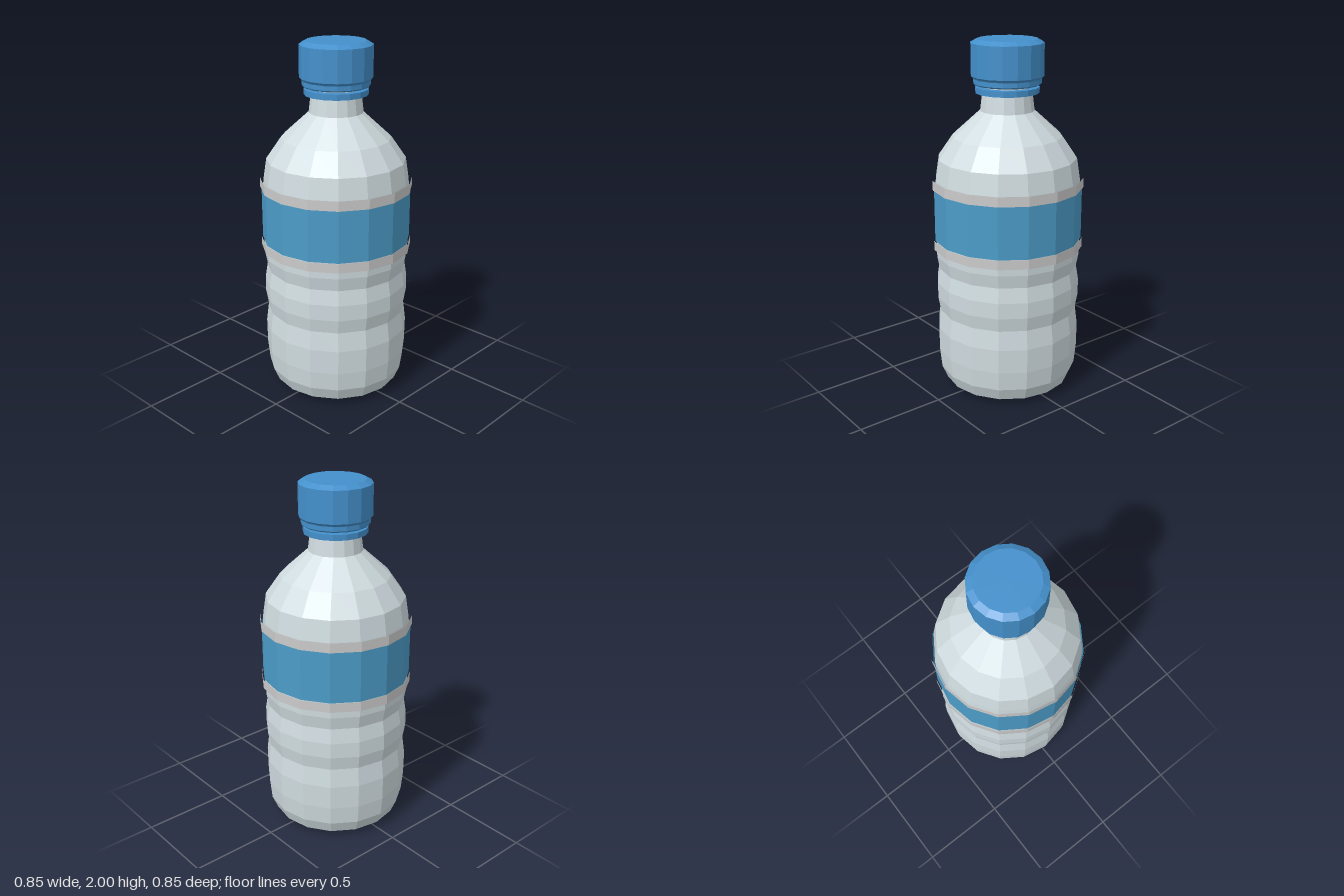
import * as THREE from 'three';

const SIDES = 16;

function material(color, side = THREE.FrontSide) {
  return new THREE.MeshStandardMaterial({ color, side, flatShading: true });
}

// Turned part from [radius, height] points, listed bottom to top on the outside
function turned(name, points, mat) {
  const profile = points.map(([r, y]) => new THREE.Vector2(r, y));
  const mesh = new THREE.Mesh(new THREE.LatheGeometry(profile, SIDES), mat);
  mesh.name = name;
  return mesh;
}

// Open sleeve wrapped around the body
function sleeve(name, radius, bottom, top, mat) {
  const geometry = new THREE.CylinderGeometry(radius, radius, top - bottom, SIDES, 1, true);
  const mesh = new THREE.Mesh(geometry, mat);
  mesh.position.y = (bottom + top) / 2;
  mesh.name = name;
  return mesh;
}

export function createModel() {
  const model = new THREE.Group();
  model.name = 'bottle';

  const plastic = material(0xd0dce0);
  const grey = material(0xcccccc);
  const capBlue = material(0x4490cc);
  const labelBlue = material(0x4c9cc8, THREE.DoubleSide);

  // Ribbed body with chamfered base and rounded shoulder
  model.add(turned('body', [
    [0, 0], [0.29, 0], [0.365, 0.035], [0.397, 0.11], [0.408, 0.22], [0.41, 0.36],
    [0.396, 0.47], [0.41, 0.55], [0.41, 0.64], [0.396, 0.725], [0.41, 0.8],
    [0.41, 0.9], [0.41, 1.19], [0.405, 1.24], [0.387, 1.355], [0.304, 1.475], [0.15, 1.615],
  ], plastic));

  // Neck running up into the cap
  model.add(turned('neck', [[0.15, 1.615], [0.137, 1.72], [0.137, 1.82]], plastic));

  // Label with a pale border above and below
  model.add(sleeve('label', 0.418, 0.895, 1.19, labelBlue));
  model.add(sleeve('lowerLabelBand', 0.425, 0.842, 0.895, grey));
  model.add(sleeve('upperLabelBand', 0.425, 1.19, 1.245, grey));

  // Tamper ring below the cap
  model.add(turned('tamperRing', [
    [0.13, 1.713], [0.176, 1.713], [0.176, 1.745], [0.13, 1.745],
  ], capBlue));

  // Cap with a stepped skirt and bevelled top
  model.add(turned('cap', [
    [0.13, 1.757], [0.178, 1.757], [0.187, 1.765], [0.187, 1.79], [0.19, 1.795],
    [0.2, 1.805], [0.2, 1.98], [0.165, 2], [0, 2],
  ], capBlue));

  return model;
}
